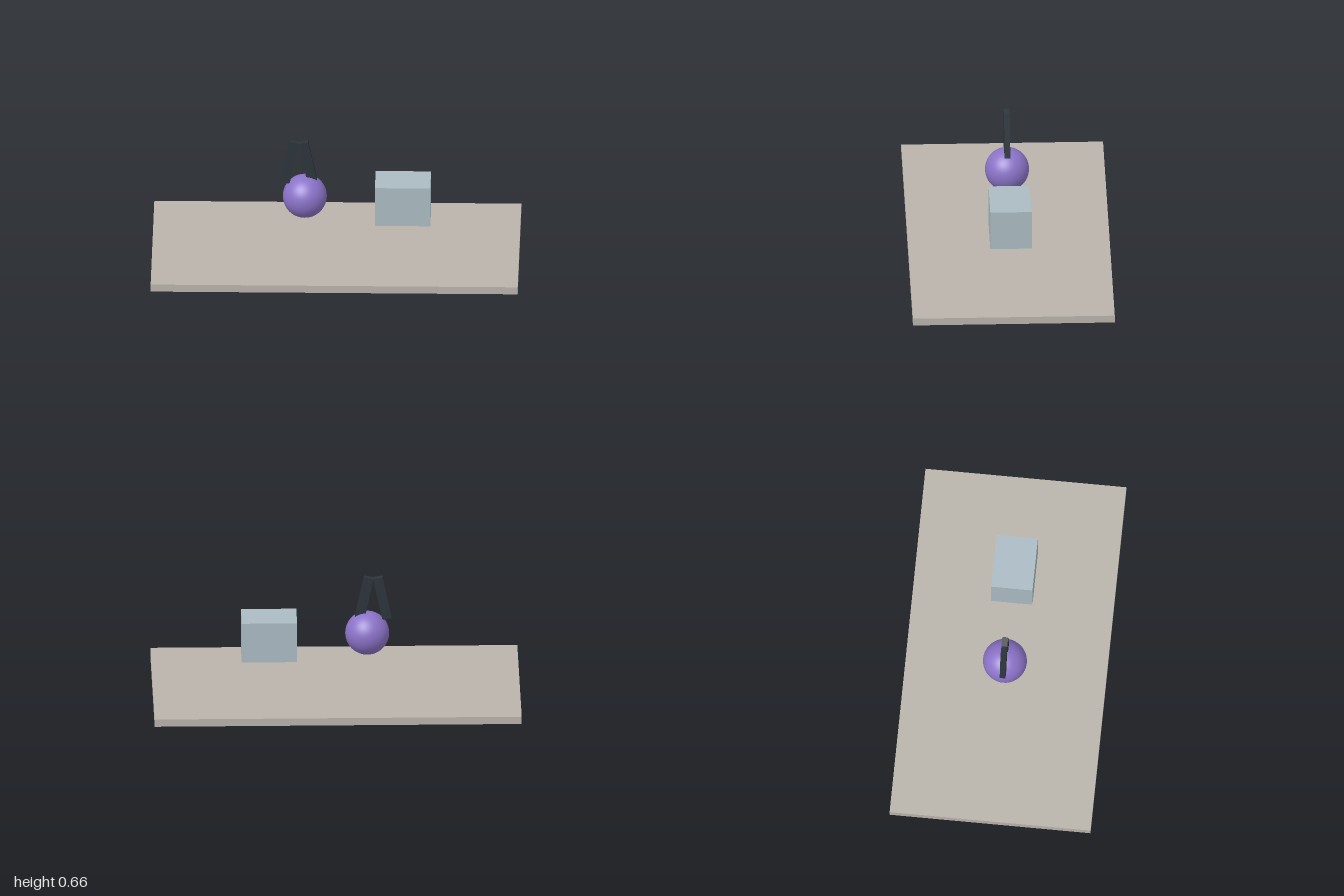
import * as THREE from 'three';

const material = (name, color) => {
  const m = new THREE.MeshStandardMaterial({ color });
  m.name = name;
  return m;
};

export function createModel() {
  const model = new THREE.Group();
  const stone = material('warm grey', 0xb9b3aa);
  const paleBlue = material('pale blue grey', 0xabbbc3);
  const purple = material('purple', 0x8b73c8);
  const charcoal = material('charcoal', 0x2d353b);

  const add = (name, geometry, mat, x, y, z = 0) => {
    const mesh = new THREE.Mesh(geometry, mat);
    mesh.name = name;
    mesh.position.set(x, y, z);
    model.add(mesh);
    return mesh;
  };

  // Thin floor slab
  add('basePlate', new THREE.BoxGeometry(2, 0.042, 1.1), stone, 0, 0.021);

  // Block floating above the slab
  add('block', new THREE.BoxGeometry(0.302, 0.226, 0.226), paleBlue, 0.365, 0.317);

  // Smooth ball
  add('ball', new THREE.SphereGeometry(0.12, 40, 28), purple, -0.17, 0.33);

  // Two gripper fingers leaning together at the top
  for (const side of [-1, 1]) {
    const finger = add(side < 0 ? 'rightFinger' : 'leftFinger',
      new THREE.BoxGeometry(0.053, 0.244, 0.032), charcoal, -0.203 + side * 0.05, 0.533);
    finger.rotation.z = side * 0.21;
  }

  return model;
}
